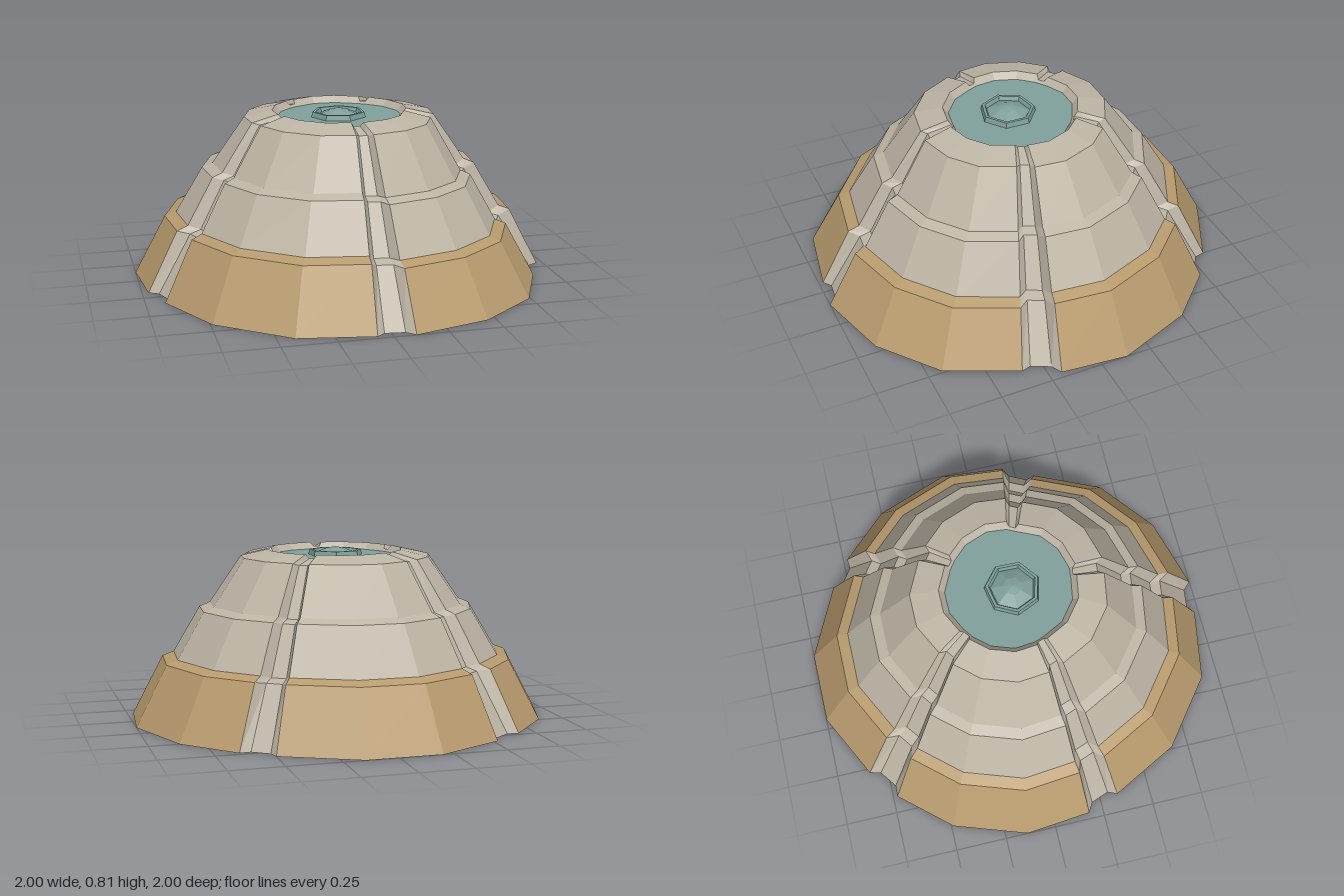
import * as THREE from 'three';

const material = (name, color) => {
  const m = new THREE.MeshStandardMaterial({ color });
  m.name = name;
  return m;
};

// Base outline: five sectors of four corners [x, z], running from the front round by +x
const SECTORS = [
  [[0.10, 1.00], [0.46, 0.90], [0.74, 0.68], [0.89, 0.35]],
  [[0.97, 0.19], [1.00, -0.13], [0.86, -0.50], [0.64, -0.73]],
  [[0.50, -0.83], [0.15, -1.00], [-0.20, -1.00], [-0.52, -0.84]],
  [[-0.67, -0.73], [-0.88, -0.49], [-1.00, -0.14], [-0.97, 0.18]],
  [[-0.91, 0.34], [-0.74, 0.67], [-0.42, 0.92], [-0.07, 0.98]],
];
// Tier drop of each sector
const DROP = [0.03, 0, 0, 0, 0.005];

// Profile of the mound: [scale, height, groove depth inward, groove depth down, share of the sector drop]
const PROFILE = [
  [1.00, 0.00, 0.035, 0.00, 0],
  [0.85, 0.285, 0.05, 0.01, 1],
  [0.795, 0.305, 0.05, 0.015, 1],
  [0.665, 0.525, 0.045, 0.01, 1],
  [0.615, 0.545, 0.045, 0.015, 1],
  [0.46, 0.77, 0.03, 0.01, 0],
  [0.325, 0.80, 0.015, 0.02, 0],
  [0.297, 0.765, 0, 0, 0],
];

// Columns round the mound: sector corners, then two groove floor corners
function makeColumns() {
  const columns = [];
  SECTORS.forEach((corners, s) => {
    corners.forEach((p, i) => columns.push({ p, drop: DROP[s], floor: false, groove: i === 3 }));
    const a = corners[3], n = (s + 1) % 5, b = SECTORS[n][0];
    for (const t of [0.22, 0.78]) {
      columns.push({
        p: [a[0] + (b[0] - a[0]) * t, a[1] + (b[1] - a[1]) * t],
        drop: (DROP[s] + DROP[n]) / 2, floor: true, groove: true,
      });
    }
  });
  return columns;
}

function pointAt(col, ring) {
  const [scale, y, inward, down, share] = PROFILE[ring];
  const k = scale - (col.floor ? inward : 0);
  return [col.p[0] * k, y - col.drop * share - (col.floor ? down : 0), col.p[1] * k];
}

function meshFrom(name, triangles, mat) {
  const g = new THREE.BufferGeometry();
  g.setAttribute('position', new THREE.Float32BufferAttribute(triangles.flat(2), 3));
  g.computeVertexNormals();
  const mesh = new THREE.Mesh(g, mat);
  mesh.name = name;
  return mesh;
}

export function createModel() {
  const group = new THREE.Group();
  group.name = 'tieredMound';
  const sand = material('sand', 0xb89b6e);
  const stone = material('stone', 0xbdb5a5);
  const water = material('teal', 0x7f9f9b);

  const columns = makeColumns();
  const lower = [], upper = [], grooves = [], base = [], pool = [];
  columns.forEach((a, i) => {
    const b = columns[(i + 1) % columns.length];
    for (let r = 0; r < PROFILE.length - 1; r++) {
      const p = pointAt(a, r), q = pointAt(b, r), u = pointAt(b, r + 1), v = pointAt(a, r + 1);
      const target = a.groove ? grooves : r < 2 ? lower : upper;
      target.push([p, q, u], [p, u, v]);
    }
    base.push([[0, 0, 0], pointAt(b, 0), pointAt(a, 0)]);
    // Pool surface, fitted inside the rim
    const top = (c) => [c.p[0] * 0.298, 0.768, c.p[1] * 0.298];
    pool.push([[0, 0.768, 0], top(a), top(b)]);
  });
  group.add(
    meshFrom('lowerTier', lower, sand),
    meshFrom('upperTiers', upper, stone),
    meshFrom('grooves', grooves, stone),
    meshFrom('underside', base, sand),
    meshFrom('pool', pool, water),
  );

  // Seven-sided raised ring with a faceted dome in the middle of the pool
  const profile = [[0.135, 0.766], [0.128, 0.793], [0.114, 0.793], [0.105, 0.774], [0.088, 0.782], [0.045, 0.80], [0, 0.808]];
  const points = profile.map(([r, y]) => new THREE.Vector2(r, y));
  const domeGeometry = new THREE.LatheGeometry(points, 7, 0.2).toNonIndexed();
  domeGeometry.computeVertexNormals();
  const dome = new THREE.Mesh(domeGeometry, water);
  dome.name = 'centreDome';
  dome.position.set(-0.01, 0, 0.015);
  group.add(dome);
  return group;
}
